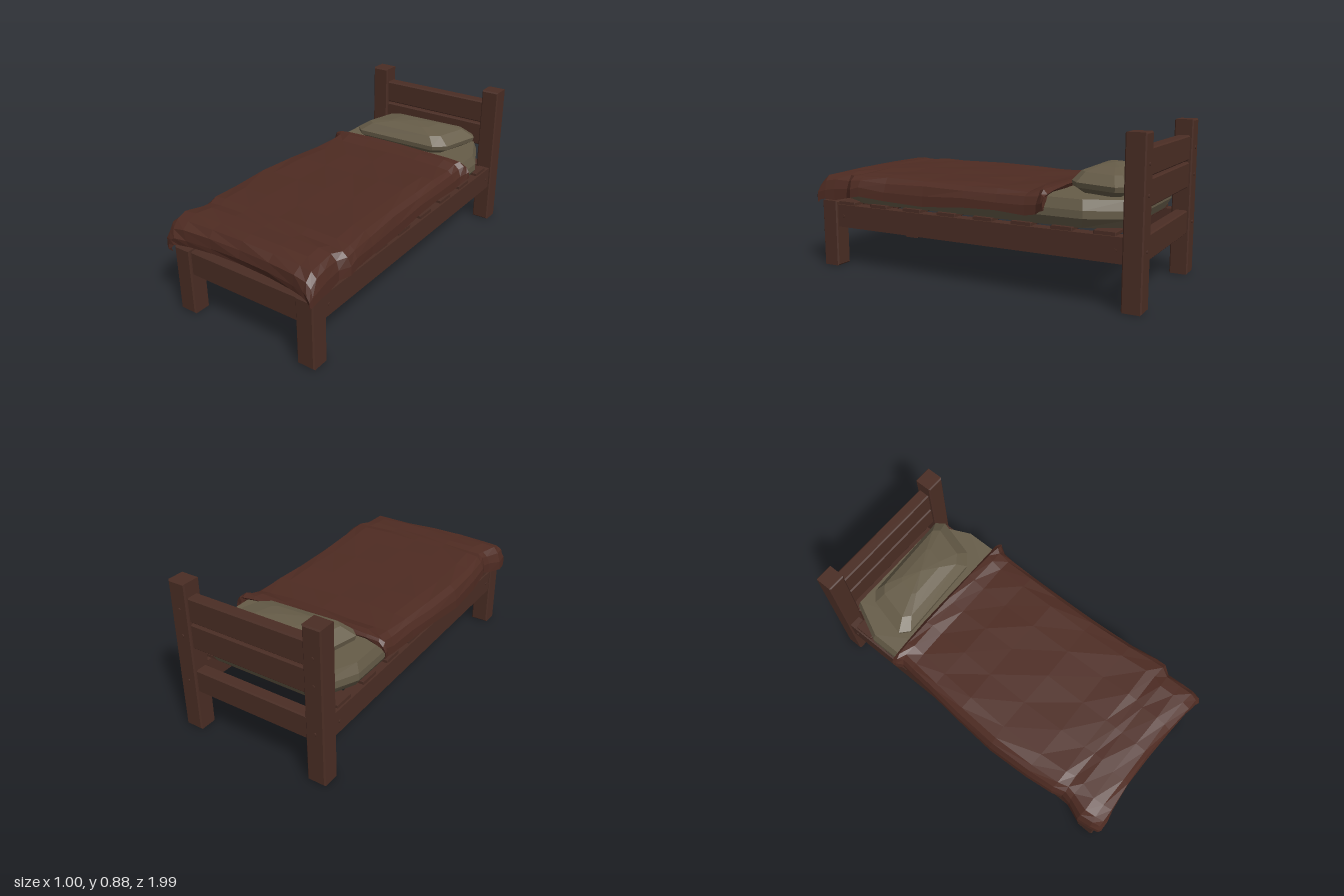
import * as THREE from 'three';

const wood = new THREE.MeshStandardMaterial({ color: 0x4a2d24 });
wood.name = 'dark wood';
const wool = new THREE.MeshStandardMaterial({ color: 0x4e2b22, side: THREE.DoubleSide });
wool.name = 'brown blanket';
const linen = new THREE.MeshStandardMaterial({ color: 0x665c48 });
linen.name = 'drab linen';

// Timber with chamfered edges, given by its min and max corners
function timber(name, x0, x1, y0, y1, z0, z1, b = 0.007) {
  const w = x1 - x0, h = y1 - y0, d = z1 - z0;
  const s = new THREE.Shape();
  s.moveTo(-w / 2 + b, -h / 2 + b);
  s.lineTo(w / 2 - b, -h / 2 + b);
  s.lineTo(w / 2 - b, h / 2 - b);
  s.lineTo(-w / 2 + b, h / 2 - b);
  const g = new THREE.ExtrudeGeometry(s, {
    depth: d - 2 * b, bevelEnabled: true, bevelSize: b, bevelThickness: b, bevelSegments: 1,
  });
  g.center();
  const m = new THREE.Mesh(g, wood);
  m.position.set((x0 + x1) / 2, (y0 + y1) / 2, (z0 + z1) / 2);
  m.name = name;
  return m;
}

function facetted(positions, index) {
  const g = new THREE.BufferGeometry();
  g.setAttribute('position', new THREE.Float32BufferAttribute(positions, 3));
  g.setIndex(index);
  const flat = g.toNonIndexed();
  flat.computeVertexNormals();
  return flat;
}

// Closed cushion: one outline repeated at [y, scaleX, scaleZ] levels about a centre
function cushion(name, outline, levels, cx, cz, crown) {
  const n = outline.length, pos = [], idx = [];
  for (const [y, sx, sz] of levels) {
    for (const [x, z] of outline) pos.push(cx + (x - cx) * sx, y, cz + (z - cz) * sz);
  }
  for (let r = 0; r < levels.length - 1; r++) {
    for (let i = 0; i < n; i++) {
      const a = r * n + i, b = r * n + (i + 1) % n;
      idx.push(a, b, b + n, a, b + n, a + n);
    }
  }
  const top = (levels.length - 1) * n, low = levels.length * n;
  pos.push(cx, levels[0][0], cz, cx, crown, cz);
  for (let i = 0; i < n; i++) {
    const j = (i + 1) % n;
    idx.push(low, j, i, low + 1, top + i, top + j);
  }
  const m = new THREE.Mesh(facetted(pos, idx), linen);
  m.name = name;
  return m;
}

// Draped cloth: rows run from head to foot, columns from hem to hem
function makeBlanket() {
  // z, top height, hem height, left edge, right edge, corner shift in z
  const rows = [
    [-0.475, 0.535, 0.46, -0.47, 0.475, -0.015],
    [-0.495, 0.55, 0.47, -0.48, 0.495, 0.005],
    [-0.48, 0.567, 0.46, -0.475, 0.485, 0.01],
    [-0.44, 0.562, 0.435, -0.45, 0.465, 0],
    [-0.37, 0.546, 0.43, -0.455, 0.46, 0],
    [-0.2, 0.547, 0.435, -0.47, 0.457, 0],
    [0, 0.55, 0.43, -0.49, 0.457, 0],
    [0.25, 0.552, 0.415, -0.505, 0.46, 0],
    [0.5, 0.554, 0.42, -0.495, 0.475, 0],
    [0.66, 0.556, 0.44, -0.48, 0.495, 0],
    [0.72, 0.55, 0.43, -0.46, 0.5, 0],
    [0.77, 0.552, 0.41, -0.47, 0.465, 0],
    [0.86, 0.55, 0.4, -0.505, 0.47, 0],
    [0.92, 0.538, 0.4, -0.495, 0.475, 0.01],
    [0.95, 0.505, 0.385, -0.48, 0.475, 0.03],
    [0.955, 0.455, 0.38, -0.46, 0.465, 0.04],
    [0.945, 0.42, 0.37, -0.44, 0.455, 0.045],
  ];
  const cols = [
    [-1, 1], [-0.995, 0.6], [-0.96, 0.25], [-0.9, 0.06], [-0.75, 0], [-0.4, 0], [0, 0],
    [0.4, 0], [0.75, 0], [0.9, 0.06], [0.96, 0.25], [0.995, 0.6], [1, 1],
  ];
  const n = cols.length, pos = [], idx = [];
  rows.forEach(([z, top, hem, xl, xr, shift], r) => {
    cols.forEach(([t, drop], c) => {
      const wave = 0.004 * Math.sin(r * 2.3 + c * 1.7);
      pos.push(
        t < 0 ? -t * xl : t * xr,
        top - (top - hem) * drop + wave + 0.004 * (1 - t * t),
        z + shift * t * t + wave,
      );
      if (r < rows.length - 1 && c < n - 1) {
        const a = r * n + c;
        idx.push(a, a + n, a + n + 1, a, a + n + 1, a + 1);
      }
    });
  });
  const m = new THREE.Mesh(facetted(pos, idx), wool);
  m.name = 'blanket';
  return m;
}

function bolt(x, y, z, alongX) {
  const m = new THREE.Mesh(new THREE.CylinderGeometry(0.009, 0.009, 0.008, 8), wood);
  m.position.set(x, y, z);
  if (alongX) m.rotation.z = Math.PI / 2;
  else m.rotation.x = Math.PI / 2;
  m.name = 'bolt';
  return m;
}

export function createModel() {
  const bed = new THREE.Group();
  bed.name = 'bed';

  // Posts, side rails and bolts on both sides
  for (const s of [-1, 1]) {
    const [a, b] = s < 0 ? [-0.45, -0.345] : [0.35, 0.455];
    bed.add(timber('headPost', a, b, 0, s < 0 ? 0.877 : 0.87, -0.995, -0.89));
    bed.add(timber('footPost', a, b, 0, 0.388, 0.86, 0.965));
    const [c, d] = s < 0 ? [-0.44, -0.37] : [0.37, 0.44];
    bed.add(timber('sideRail', c, d, 0.235, 0.367, -0.9, 0.87));
    for (const z of [-0.85, 0.82]) bed.add(bolt(s * 0.44, 0.3, z, true));
    for (const y of [0.3, 0.57, 0.72]) bed.add(bolt(s * 0.4, y, -0.995, false));
  }

  // Headboard planks and end rails
  bed.add(timber('upperHeadPlank', -0.36, 0.36, 0.652, 0.79, -0.98, -0.91));
  bed.add(timber('lowerHeadPlank', -0.36, 0.36, 0.5, 0.642, -0.98, -0.91));
  bed.add(timber('headRail', -0.36, 0.36, 0.235, 0.37, -0.98, -0.91));
  bed.add(timber('footRail', -0.36, 0.36, 0.235, 0.378, 0.88, 0.95));

  // Slats resting on the rails
  for (let i = 0; i < 8; i++) {
    const z = -0.79 + i * 0.2275;
    bed.add(timber('slat', -0.43, 0.43, 0.364, 0.385, z - 0.058, z + 0.058, 0.003));
  }

  // Mattress with clipped corners
  bed.add(cushion('mattress', [
    [0.44, 0.72], [0.44, -0.68], [0.34, -0.89], [-0.34, -0.89],
    [-0.44, -0.68], [-0.44, 0.72], [-0.34, 0.9], [0.34, 0.9],
  ], [[0.382, 0.92, 0.97], [0.435, 1, 1], [0.475, 1, 1], [0.528, 0.96, 0.985]], 0, 0, 0.53));

  // Skewed pillow
  bed.add(cushion('pillow', [
    [0.29, -0.58], [0.355, -0.81], [0.32, -0.855], [-0.23, -0.83],
    [-0.285, -0.78], [-0.34, -0.55], [-0.29, -0.505], [0.22, -0.525],
  ], [
    [0.528, 0.82, 0.75], [0.56, 0.98, 0.98], [0.587, 1, 1],
    [0.635, 0.79, 0.76], [0.656, 0.4, 0.4],
  ], 0.005, -0.68, 0.665));

  bed.add(makeBlanket());
  return bed;
}
